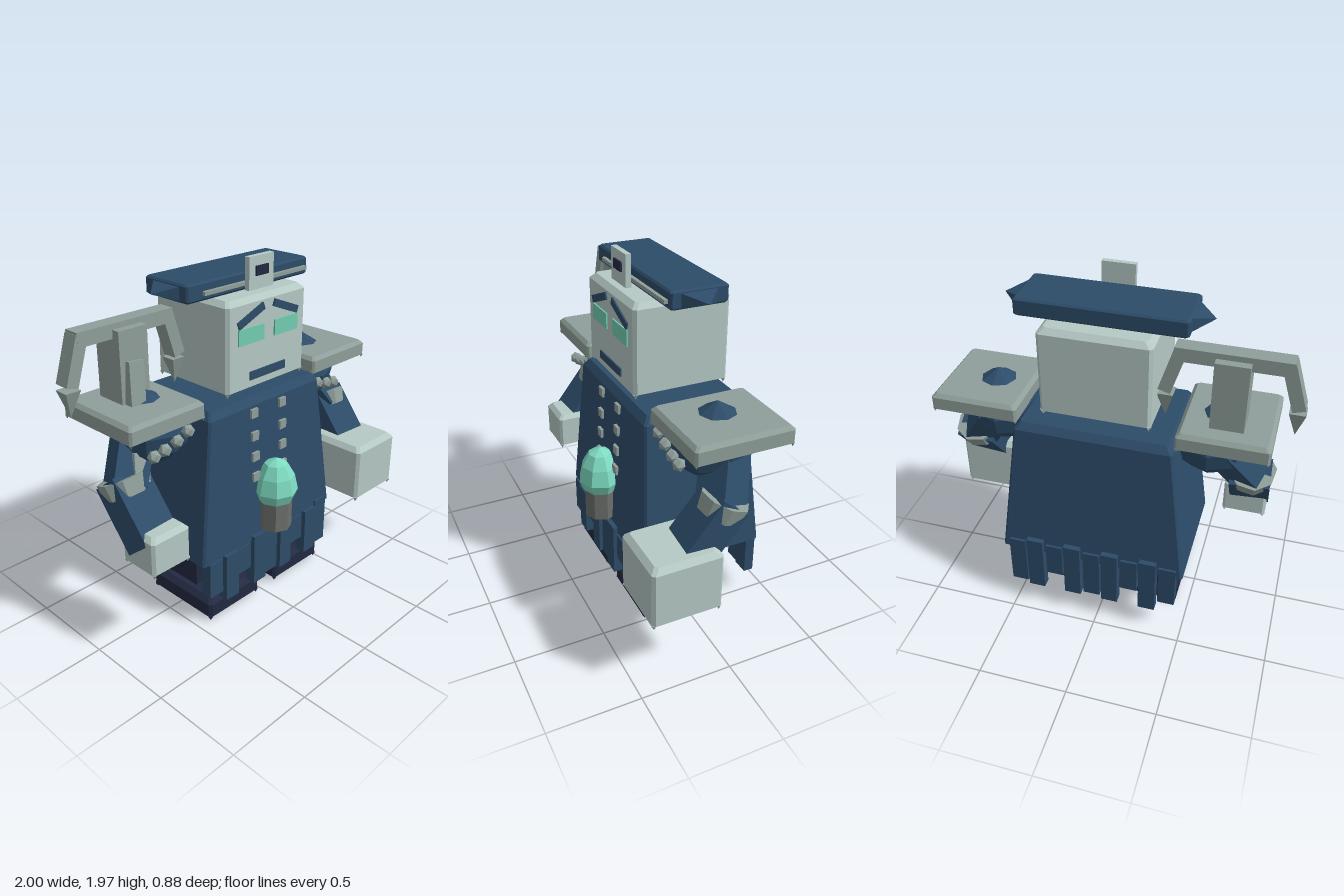
import * as THREE from 'three';
import { mergeGeometries } from 'three/addons/utils/BufferGeometryUtils.js';

const CX = 0.035; // centre line of the body

export function createModel() {
  const root = new THREE.Group();
  root.name = 'figure';
  const mat = (name, color) => {
    const m = new THREE.MeshStandardMaterial({ color, flatShading: true });
    m.name = name;
    return m;
  };
  const navy = mat('navy cloth', 0x2d4c69);
  const dark = mat('dark leather', 0x232a42);
  const pale = mat('pale skin', 0xb5c9c4);
  const grey = mat('grey metal', 0x8f9f9a);
  const stone = mat('dark stone', 0x6c706b);
  const teal = mat('teal glow', 0x72cdb2);
  const mint = mat('mint crystal', 0x7ddac0);

  function add(name, geo, material, x = 0, y = 0, z = 0, parent = root) {
    const m = new THREE.Mesh(geo, material);
    m.name = name;
    m.position.set(x, y, z);
    parent.add(m);
    return m;
  }

  // plain box from its limits
  function box(name, material, x0, x1, y0, y1, z0, z1) {
    return add(name, new THREE.BoxGeometry(x1 - x0, y1 - y0, z1 - z0), material,
      (x0 + x1) / 2, (y0 + y1) / 2, (z0 + z1) / 2);
  }

  // stack of rectangles with cut corners; each ring is [y, x0, x1, z0, z1]
  function loft(rings, c) {
    const pos = [], idx = [], n = 8;
    for (const [y, x0, x1, z0, z1] of rings) {
      const ring = [[x1, z1 - c], [x1, z0 + c], [x1 - c, z0], [x0 + c, z0],
        [x0, z0 + c], [x0, z1 - c], [x0 + c, z1], [x1 - c, z1]];
      for (const [x, z] of ring) pos.push(x, y, z);
    }
    const top = (rings.length - 1) * n;
    for (let r = 0; r < top; r += n) {
      for (let i = 0; i < n; i++) {
        const j = (i + 1) % n;
        idx.push(r + i, r + j, r + n + j, r + i, r + n + j, r + n + i);
      }
    }
    for (let i = 1; i < n - 1; i++) idx.push(top, top + i, top + i + 1, 0, i + 1, i);
    const g = new THREE.BufferGeometry();
    g.setAttribute('position', new THREE.Float32BufferAttribute(pos, 3));
    g.setIndex(idx);
    const flat = g.toNonIndexed();
    flat.computeVertexNormals();
    return flat;
  }

  // bevelled block with small pointed feet under its corners
  function block(name, material, x0, x1, y0, y1, z0, z1, c = 0.028) {
    const parts = [loft([[y0, x0, x1, z0, z1], [y1 - c, x0, x1, z0, z1],
      [y1, x0 + c, x1 - c, z0 + c, z1 - c]], c * 0.6)];
    for (const x of [x0 + c / 2, x1 - c / 2]) {
      for (const z of [z0 + c / 2, z1 - c / 2]) {
        const spike = new THREE.ConeGeometry(c * 0.6, c, 4).toNonIndexed();
        spike.deleteAttribute('uv');
        spike.rotateX(Math.PI).translate(x, y0 - c / 2, z);
        parts.push(spike);
      }
    }
    return add(name, mergeGeometries(parts), material);
  }

  // align a mesh's y axis with the segment a-b
  function along(mesh, a, b) {
    const p = new THREE.Vector3(...a), q = new THREE.Vector3(...b);
    mesh.position.copy(p).lerp(q, 0.5);
    mesh.quaternion.setFromUnitVectors(new THREE.Vector3(0, 1, 0), q.sub(p).normalize());
    return mesh;
  }
  const dist = (a, b) => Math.hypot(a[0] - b[0], a[1] - b[1], a[2] - b[2]);

  // coat
  add('coat', loft([[0.4, -0.49, 0.565, -0.41, 0.28], [1.2, -0.39, 0.465, -0.355, 0.235],
    [1.24, -0.36, 0.435, -0.325, 0.205]], 0.012), navy);
  for (const y of [1.16, 1.03, 0.91, 0.79]) {
    const z = 0.235 + (1.2 - y) * 0.056;
    for (const x of [-0.075, 0.145]) {
      box('button', grey, x - 0.025, x + 0.025, y - 0.025, y + 0.025, z - 0.01, z + 0.015);
    }
  }

  // hanging strips along the hem, front and back
  const lows = [0.19, 0.13, 0.24, 0.13, 0.14, 0.13, 0.24, 0.13, 0.14];
  const tops = [0.4, 0.41, 0.4, 0.435, 0.435, 0.435, 0.4, 0.41, 0.435];
  lows.forEach((low, i) => {
    const x = CX + (i - 4) * 0.11, shift = (i % 2) * 0.015;
    box('frontStrip', navy, x - 0.048, x + 0.048, low, tops[i], 0.225 + shift, 0.29 + shift);
    box('backStrip', navy, x - 0.048, x + 0.048, low + 0.01, 0.46 + shift * 2,
      -0.42 - shift, -0.365 - shift);
  });

  // legs and shoes
  for (const x of [-0.23, 0.3]) {
    box('leg', dark, x - 0.14, x + 0.14, 0.12, 0.41, -0.21, 0.09);
    block('shoe', dark, x - 0.197, x + 0.197, 0.028, 0.135, -0.22, 0.26);
  }

  // head and face
  block('head', pale, -0.26, 0.33, 1.31, 1.785, -0.3, 0.23);
  box('rightEye', teal, -0.185, 0, 1.55, 1.635, 0.229, 0.238);
  box('leftEye', teal, 0.08, 0.26, 1.55, 1.635, 0.229, 0.238);
  box('mouth', navy, -0.1, 0.17, 1.35, 1.395, 0.229, 0.238);
  for (const s of [-1, 1]) {
    const brow = box('brow', navy, -0.1, 0.1, -0.02, 0.02, -0.005, 0.005);
    brow.position.set(CX + s * 0.13, 1.692, 0.234);
    brow.rotation.z = -s * 0.38;
  }

  // hat with side points, band and badge
  add('hat', loft([[1.785, -0.4, 0.47, -0.19, 0.1], [1.795, -0.41, 0.48, -0.2, 0.11],
    [1.87, -0.41, 0.48, -0.2, 0.11], [1.88, -0.4, 0.47, -0.19, 0.1]], 0.01), navy);
  for (const s of [-1, 1]) {
    const cone = new THREE.ConeGeometry(Math.SQRT1_2, 0.1, 4);
    cone.rotateY(Math.PI / 4).scale(0.07, 1, 0.19).rotateZ(-s * Math.PI / 2);
    add('hatPoint', cone, navy, CX + s * 0.495, 1.83, -0.04);
  }
  box('hatBand', grey, -0.31, 0.45, 1.815, 1.835, 0.1, 0.13);
  box('badge', pale, -0.055, 0.125, 1.8, 1.97, 0.15, 0.18);
  box('badgeInset', dark, -0.01, 0.08, 1.87, 1.92, 0.18, 0.189);

  // crystal in its holder
  add('crystalHolder', new THREE.CylinderGeometry(0.095, 0.095, 0.24, 8), stone, CX, 0.58, 0.31);
  const gem = [[0, 0.63], [0.1, 0.63], [0.125, 0.69], [0.105, 0.78], [0.065, 0.85], [0, 0.88]];
  add('crystal', new THREE.LatheGeometry(gem.map(p => new THREE.Vector2(...p)), 8), mint, CX, 0, 0.31);

  // shoulders and arms, mirrored
  const ball = [[0, 0.99], [0.12, 0.99], [0.19, 1.06], [0.215, 1.16], [0.19, 1.23], [0, 1.23]];
  for (const s of [-1, 1]) {
    const side = (x, y, z) => [CX + s * (x - CX), y, z];
    const mid = CX + s * 0.663;
    block('shoulderPlate', grey, mid - 0.24, mid + 0.24, 1.225, 1.315, -0.325, 0.205, 0.02);
    add('plateCone', new THREE.ConeGeometry(0.13, 0.08, 8), navy, CX + s * 0.62, 1.335, -0.06);
    add('shoulder', new THREE.LatheGeometry(ball.map(p => new THREE.Vector2(...p)), 8), navy,
      CX + s * 0.58, 0, -0.05);

    const top = side(0.67, 1.15, -0.11), elbow = side(0.83, 0.9, 0), wrist = side(0.825, 0.69, 0.17);
    along(add('upperArm', new THREE.BoxGeometry(0.18, dist(top, elbow), 0.18), navy), top, elbow);
    along(add('forearm', new THREE.BoxGeometry(0.22, dist(elbow, wrist) + 0.1, 0.17), navy), elbow, wrist);
    along(add('elbowCuff', new THREE.CylinderGeometry(0.115, 0.13, 0.09, 8), grey),
      side(0.84, 0.95, -0.02), side(0.835, 0.86, 0.02));

    // row of studs below the plate
    [[0.475, 1.165], [0.55, 1.135], [0.63, 1.112], [0.7, 1.1]].forEach(([x, y]) =>
      add('stud', new THREE.IcosahedronGeometry(0.036, 0), grey, s * x, y, 0.165));
  }
  const patch = add('armPatch', new THREE.BoxGeometry(0.09, 0.15, 0.02), grey, -0.695, 1.0, 0.055);
  patch.rotation.set(-0.35, 0, -0.25);

  // hands
  block('rightHand', pale, -0.86, -0.615, 0.555, 0.755, 0.08, 0.32, 0.025);
  block('leftHand', pale, 0.63, 0.995, 0.43, 0.755, 0.06, 0.44);

  // anchor standing on the right shoulder
  box('anchorShank', grey, -0.715, -0.54, 1.3, 1.69, -0.22, -0.04);
  const brace = box('anchorBrace', grey, -0.69, -0.6, 1.3, 1.53, -0.06, 0);
  brace.rotation.set(-0.12, 0, -0.08);
  box('anchorBar', grey, -0.915, -0.335, 1.645, 1.72, -0.175, -0.085);
  for (const s of [-1, 1]) {
    const x = d => -0.627 + s * d;
    const a = [x(0.26), 1.7, -0.13], b = [x(0.335), 1.46, -0.13];
    along(add('anchorArm', new THREE.BoxGeometry(0.068, dist(a, b), 0.088), grey), a, b);
    const tip = new THREE.ConeGeometry(0.06, 0.145, 4).rotateY(Math.PI / 4).rotateX(Math.PI);
    add('anchorTip', tip, grey, x(0.33), 1.368, -0.13);
  }
  return root;
}
